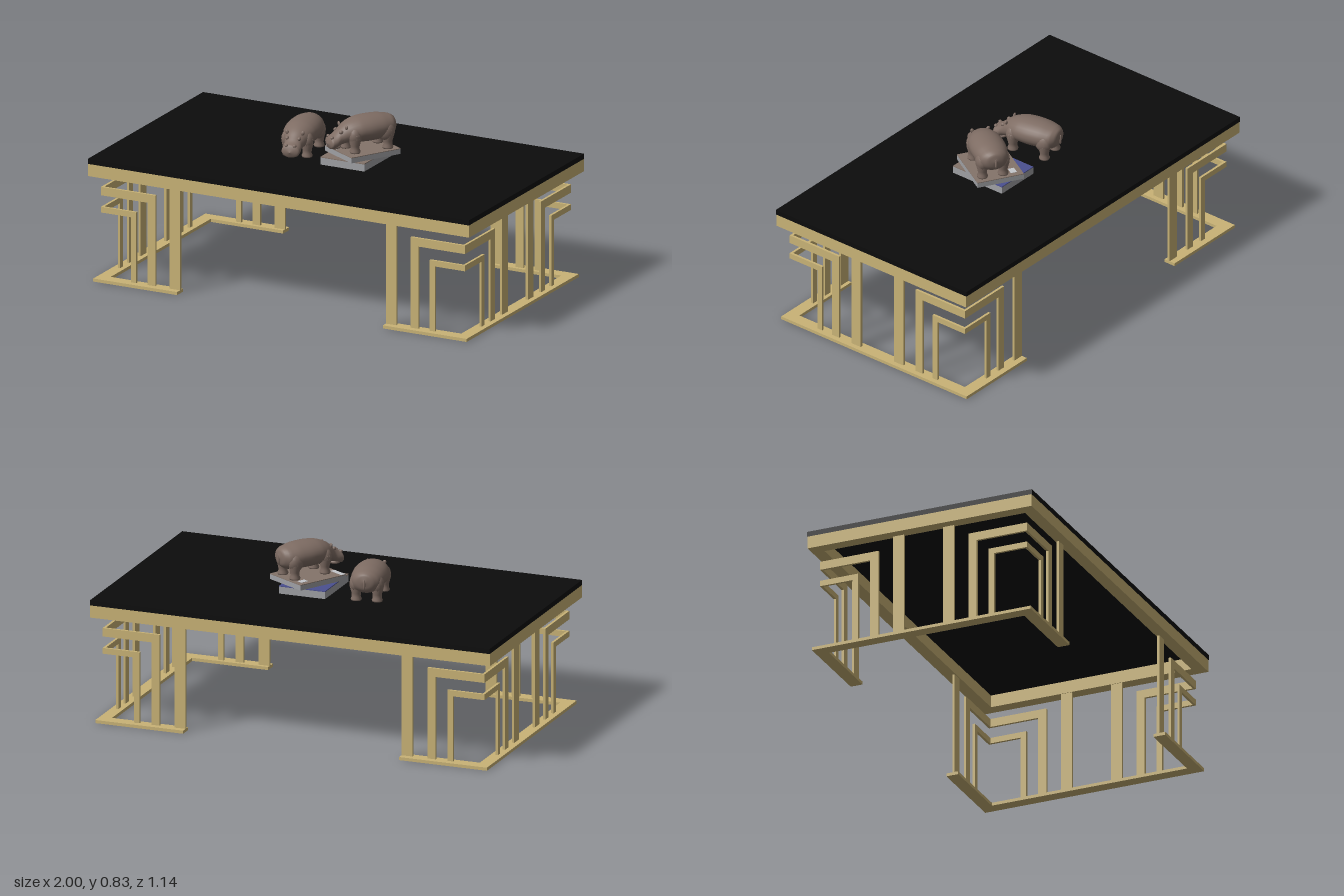
import * as THREE from 'three';

const mat = (name, color, side = THREE.FrontSide) => {
  const m = new THREE.MeshStandardMaterial({ color, side });
  m.name = name;
  return m;
};

export function createModel() {
  const gold = mat('gold', 0xc9b376);
  const black = mat('black', 0x0c0c0c);
  const hide = mat('hide', 0x7e6c63);
  const paper = mat('paper', 0x9fa0a4);
  const blue = mat('blue cover', 0x4b5090);
  const brown = mat('brown cover', 0x84746a);
  const pale = mat('pale print', 0xc4c6cb);

  const model = new THREE.Group();
  model.name = 'coffeeTable';

  const add = (parent, name, geometry, material) => {
    const mesh = new THREE.Mesh(geometry, material);
    mesh.name = name;
    parent.add(mesh);
    return mesh;
  };
  // Box given by its extents along each axis
  const box = (parent, name, material, x0, x1, y0, y1, z0, z1) => {
    const mesh = add(parent, name,
      new THREE.BoxGeometry(Math.abs(x1 - x0), y1 - y0, Math.abs(z1 - z0)), material);
    mesh.position.set((x0 + x1) / 2, (y0 + y1) / 2, (z0 + z1) / 2);
    return mesh;
  };

  // Table top and the open frame below it
  box(model, 'tableTop', black, -1, 1, 0.575, 0.6, -0.572, 0.572);
  for (const s of [-1, 1]) {
    box(model, 'longApron', gold, -1, 1, 0.515, 0.575, s * 0.51, s * 0.57);
    box(model, 'shortApron', gold, s * 0.94, s, 0.515, 0.575, -0.51, 0.51);
  }

  // Base strips and nested corner brackets
  const X = 0.955, Z = 0.527, T = 0.012, B = 0.015;
  const brackets = [
    { x: 0.67, z: 0.23, y: 0.457, w: 0.041 },
    { x: 0.77, z: 0.332, y: 0.36, w: 0.028 },
  ];
  for (const sx of [-1, 1]) {
    box(model, 'sideBase', gold, sx * 0.92, sx * 0.98, 0, B, -0.557, 0.557);
    for (const sz of [-1, 1]) {
      const leg = new THREE.Group();
      leg.name = 'cornerLeg';
      model.add(leg);
      const bar = (name, x0, x1, y0, y1, z0, z1) =>
        box(leg, name, gold, sx * x0, sx * x1, y0, y1, sz * z0, sz * z1);
      bar('endBase', 0.54, 0.92, 0, B, 0.497, 0.557);
      bar('endPost', 0.54, 0.595, B, 0.515, Z - T, Z);
      bar('sidePost', X - T, X, B, 0.515, 0.1, 0.156);
      for (const { x, z, y, w } of brackets) {
        bar('endUpright', x, x + w, B, y - w, Z - T, Z);
        bar('endRail', x, X, y - w, y, Z - T, Z);
        bar('sideUpright', X - T, X, B, y - w, z, z + w);
        bar('sideRail', X - T, X, y - w, y, z, Z - T);
      }
    }
  }

  // Lower book, square to the table
  box(model, 'lowerBook', paper, -0.005, 0.225, 0.6, 0.634, -0.148, 0.145);
  box(model, 'lowerCoverBack', blue, -0.005, 0.225, 0.634, 0.638, -0.148, 0.04);
  box(model, 'lowerCoverFront', brown, -0.005, 0.225, 0.634, 0.638, 0.04, 0.145);

  // Upper book, turned on top of it
  const book = new THREE.Group();
  book.name = 'upperBook';
  book.position.set(0.137, 0, -0.007);
  book.rotation.y = -0.52;
  model.add(book);
  box(book, 'pages', paper, -0.115, 0.115, 0.638, 0.662, -0.135, 0.135);
  box(book, 'cover', brown, -0.115, 0.115, 0.662, 0.665, -0.135, 0.135);
  box(book, 'coverPanel', pale, -0.113, -0.03, 0.665, 0.666, 0.108, 0.133);
  box(book, 'coverPatch', pale, -0.09, -0.06, 0.665, 0.666, -0.11, -0.07);

  // Smooth skin through elliptical rings [z, centre y, half width, half height]
  const loft = (rings, seg = 28, steps = 44) => {
    const a = new THREE.CatmullRomCurve3(rings.map(r => new THREE.Vector3(r[0], r[1], 0)));
    const b = new THREE.CatmullRomCurve3(rings.map(r => new THREE.Vector3(r[2], r[3], 0)));
    const pos = [], index = [];
    for (let i = 0; i <= steps; i++) {
      const c = a.getPoint(i / steps), r = b.getPoint(i / steps);
      for (let j = 0; j < seg; j++) {
        const t = (j / seg) * Math.PI * 2;
        pos.push(Math.cos(t) * r.x, c.y + Math.sin(t) * r.y, c.x);
        if (i === steps) continue;
        const p = i * seg + j, q = i * seg + (j + 1) % seg;
        index.push(p, q, p + seg, q, q + seg, p + seg);
      }
    }
    const g = new THREE.BufferGeometry();
    g.setAttribute('position', new THREE.Float32BufferAttribute(pos, 3));
    g.setIndex(index);
    g.computeVertexNormals();
    return g;
  };

  const bodyGeo = loft([
    [-0.174, 0.105, 0.001, 0.001], [-0.165, 0.102, 0.04, 0.036],
    [-0.142, 0.098, 0.066, 0.053], [-0.09, 0.1, 0.08, 0.061],
    [-0.03, 0.1, 0.084, 0.063], [0.025, 0.099, 0.079, 0.06],
    [0.065, 0.095, 0.066, 0.052], [0.095, 0.086, 0.052, 0.045],
    [0.12, 0.072, 0.043, 0.038], [0.142, 0.058, 0.045, 0.034],
    [0.165, 0.052, 0.042, 0.029], [0.177, 0.05, 0.001, 0.001],
  ]);
  const legGeo = new THREE.LatheGeometry(
    [[0, 0], [0.024, 0], [0.026, 0.007], [0.021, 0.018], [0.022, 0.035], [0.03, 0.065], [0.03, 0.09], [0, 0.115]]
      .map(p => new THREE.Vector2(...p)), 18);
  const ball = new THREE.SphereGeometry(1, 14, 10);

  // Hippopotamus facing +z
  const hippo = (name, x, y, z, turn) => {
    const g = new THREE.Group();
    g.name = name;
    g.position.set(x, y, z);
    g.rotation.y = turn;
    model.add(g);
    add(g, 'bodyAndHead', bodyGeo, hide);
    const blob = (part, px, py, pz, sx, sy, sz) => {
      const m = add(g, part, ball, hide);
      m.position.set(px, py, pz);
      m.scale.set(sx, sy, sz);
      return m;
    };
    for (const s of [-1, 1]) {
      add(g, 'frontLeg', legGeo, hide).position.set(s * 0.047, 0, 0.055);
      add(g, 'hindLeg', legGeo, hide).position.set(s * 0.05, 0, -0.115);
      blob('haunch', s * 0.052, 0.082, -0.11, 0.03, 0.045, 0.04);
      blob('shoulder', s * 0.048, 0.08, 0.055, 0.03, 0.042, 0.033);
      blob('ear', s * 0.038, 0.124, 0.095, 0.009, 0.012, 0.006).rotation.z = -s * 0.5;
      blob('brow', s * 0.029, 0.103, 0.118, 0.009, 0.009, 0.011);
      blob('nostril', s * 0.02, 0.08, 0.161, 0.009, 0.007, 0.009);
    }
    blob('lowerJaw', 0, 0.032, 0.138, 0.033, 0.013, 0.03);
    blob('tail', 0, 0.093, -0.172, 0.006, 0.025, 0.006);
  };
  hippo('hippoOnBooks', 0.14, 0.665, 0.018, -0.6);
  hippo('hippoOnTable', -0.172, 0.6, 0.02, 0.17);

  return model;
}
